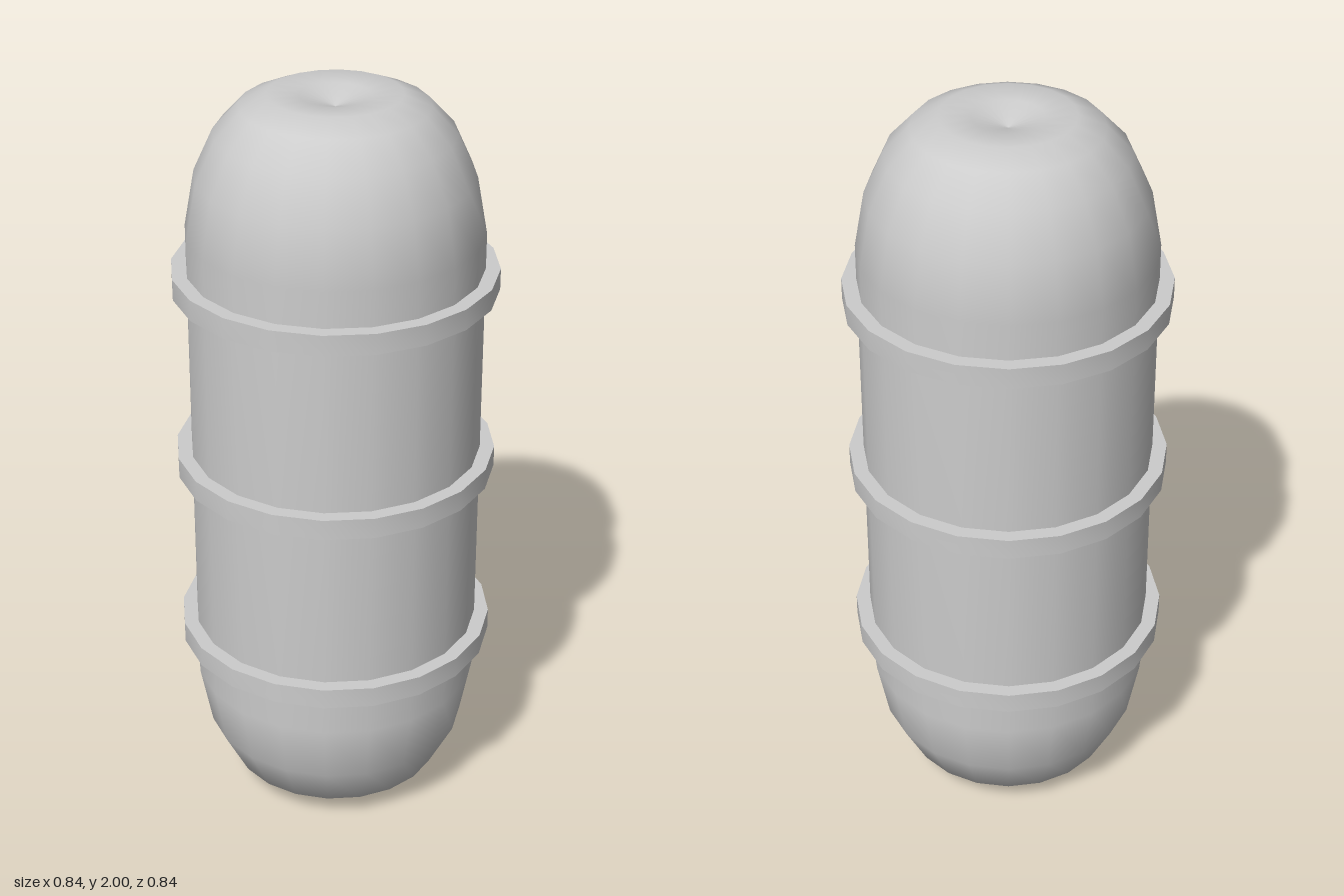
import * as THREE from 'three';
import { toCreasedNormals } from 'three/addons/utils/BufferGeometryUtils.js';

const SIDES = 20;

// Revolve a profile listed from bottom to top as [radius, y]
function lathe(profile) {
  return new THREE.LatheGeometry(profile.map(([r, y]) => new THREE.Vector2(r, y)), SIDES);
}

export function createModel() {
  const model = new THREE.Group();
  const material = new THREE.MeshStandardMaterial({ color: 0xcccccc });

  // Capsule shell with rounded, slightly dimpled ends
  const shell = new THREE.Mesh(lathe([
    [0, 0.025], [0.1, 0], [0.2, 0.012], [0.285, 0.07], [0.35, 0.195], [0.382, 0.36],
    [0.382, 1.64],
    [0.355, 1.79], [0.305, 1.9], [0.24, 1.97], [0.17, 2], [0.09, 1.995], [0, 1.965],
  ]), material);
  shell.name = 'shell';
  model.add(shell);

  // Three raised hoops around the shell
  const hoopGeometry = toCreasedNormals(lathe([
    [0.37, -0.028], [0.42, -0.028], [0.42, 0.028], [0.37, 0.028],
  ]), 0.6);
  ['lowerHoop', 'middleHoop', 'upperHoop'].forEach((name, i) => {
    const hoop = new THREE.Mesh(hoopGeometry, material);
    hoop.name = name;
    hoop.position.y = 0.494 + i * 0.511;
    model.add(hoop);
  });

  return model;
}
